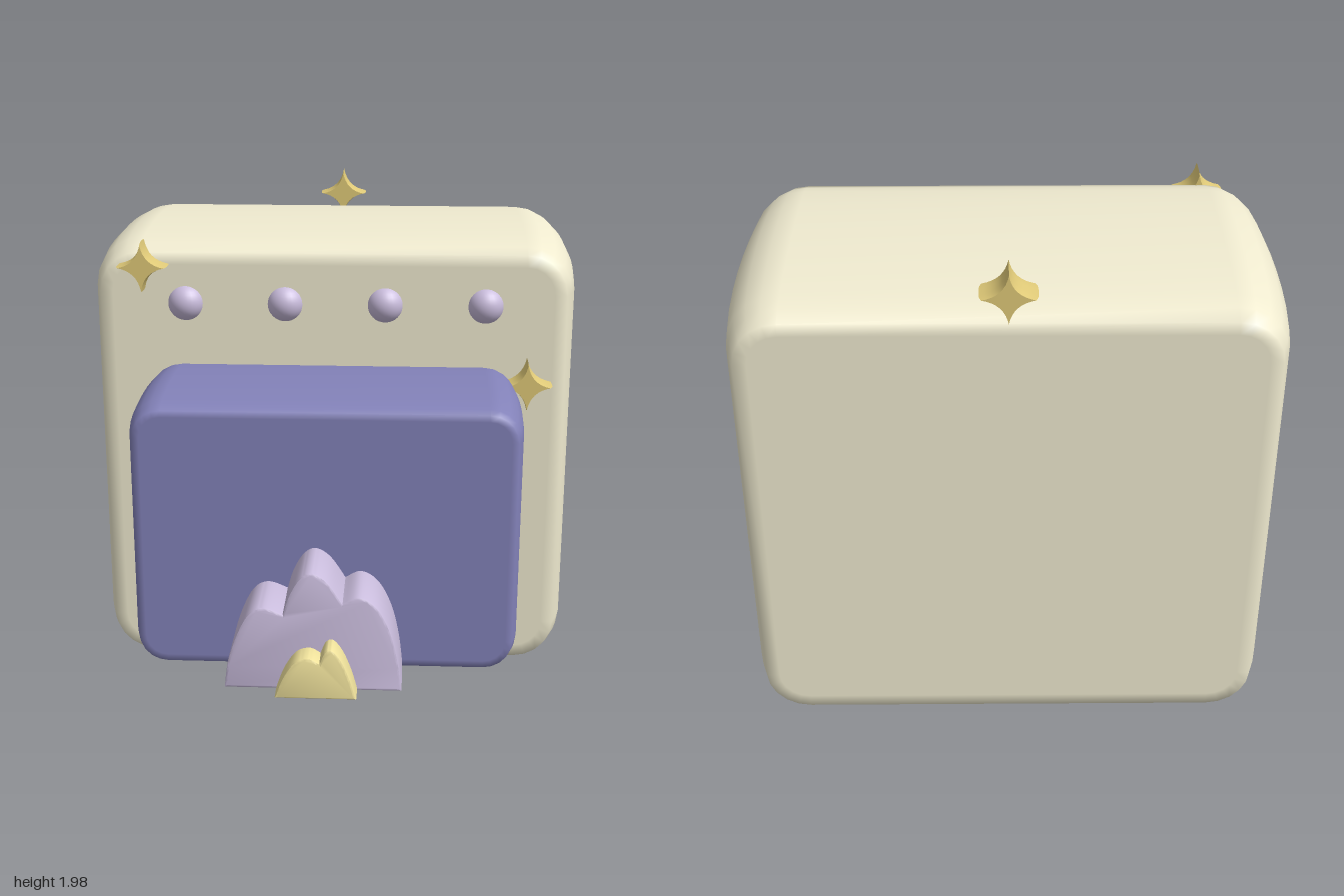
import * as THREE from 'three';
import { toCreasedNormals } from 'three/addons/utils/BufferGeometryUtils.js';

const mat = (color) => new THREE.MeshStandardMaterial({ color });
const CREAM = mat(0xf0ebd0), BLUE = mat(0x8382b9), LILAC = mat(0xcabddd);
const YELLOW = mat(0xf0e29c), GOLD = mat(0xe0ca78);

function add(parent, name, geometry, material, x = 0, y = 0, z = 0) {
  const mesh = new THREE.Mesh(geometry, material);
  mesh.name = name;
  mesh.position.set(x, y, z);
  parent.add(mesh);
  return mesh;
}

// Pillow block: rounded rectangles lofted along z, each section [z, inset]
function pillow(halfW, halfH, radius, sections) {
  const pos = [], index = [], steps = 5, n = 4 * (steps + 1);
  for (const [z, inset] of sections) {
    const r = radius - inset;
    for (let c = 0; c < 4; c++) {
      const sx = c === 0 || c === 3 ? 1 : -1, sy = c < 2 ? 1 : -1;
      for (let s = 0; s <= steps; s++) {
        const a = (c + s / steps) * Math.PI / 2;
        pos.push(sx * (halfW - radius) + r * Math.cos(a), sy * (halfH - radius) + r * Math.sin(a), z);
      }
    }
  }
  const last = sections.length - 1;
  for (let k = 0; k < last; k++) {
    for (let i = 0; i < n; i++) {
      const j = (i + 1) % n, a = k * n, b = a + n;
      index.push(a + i, a + j, b + j, a + i, b + j, b + i);
    }
  }
  // Flat end caps
  const back = pos.length / 3, front = back + 1;
  pos.push(0, 0, sections[0][0], 0, 0, sections[last][0]);
  for (let i = 0; i < n; i++) {
    const j = (i + 1) % n;
    index.push(back, j, i, front, last * n + i, last * n + j);
  }
  const g = new THREE.BufferGeometry();
  g.setAttribute('position', new THREE.Float32BufferAttribute(pos, 3));
  g.setIndex(index);
  g.computeVertexNormals();
  return g;
}

// Section list for a block that swells gently towards its middle
function swell(z0, z1, taper) {
  const d = z1 - z0;
  const rows = [[0, 1.8], [0, 1], [0.06, 0.62], [0.12, 0.36], [0.25, 0.14], [0.38, 0.03]];
  const half = rows.map(([t, f]) => [z0 + t * d, f * taper]);
  const other = rows.map(([t, f]) => [z1 - t * d, f * taper]).reverse();
  return [...half, [(z0 + z1) / 2, 0], ...other];
}

// Four-pointed sparkle with concave sides and slightly softened ends
function sparkle() {
  const R = 0.1, q = 0.022, depth = 0.115;
  const s = new THREE.Shape();
  s.moveTo(R, 0);
  for (let i = 0; i < 4; i++) {
    const a = (i + 0.5) * Math.PI / 2, b = (i + 1) * Math.PI / 2;
    s.quadraticCurveTo(q * Math.cos(a), q * Math.sin(a), R * Math.cos(b), R * Math.sin(b));
  }
  const g = new THREE.ExtrudeGeometry(s, { depth, steps: 6, bevelEnabled: false, curveSegments: 8 });
  const p = g.attributes.position;
  for (let i = 0; i < p.count; i++) {
    const t = Math.abs(p.getZ(i) / depth * 2 - 1);
    const k = 1 - 0.09 * t ** 4;
    p.setXY(i, p.getX(i) * k, p.getY(i) * k);
  }
  return toCreasedNormals(g, 0.7);
}

// Flame: flat base and a row of rounded lobes, each given by spline points
function flame(lobes, depth) {
  const s = new THREE.Shape();
  s.moveTo(...lobes[0][0]);
  for (const lobe of lobes) s.splineThru(lobe.slice(1).map(([x, y]) => new THREE.Vector2(x, y)));
  s.closePath();
  const bevel = 0.012;
  const g = new THREE.ExtrudeGeometry(s, {
    depth: depth - 2 * bevel, curveSegments: 5,
    bevelThickness: bevel, bevelSize: 0.008, bevelOffset: -0.008, bevelSegments: 2,
  });
  g.translate(0, 0, bevel);
  return toCreasedNormals(g, 0.7);
}

export function createModel() {
  const model = new THREE.Group();
  model.name = 'toyStove';

  // Stove body and the protruding oven door
  add(model, 'body', pillow(0.99, 0.925, 0.22, swell(-1, 0.055, 0.06)), CREAM, 0, 0.925);
  add(model, 'ovenDoor', pillow(0.75, 0.54, 0.14, swell(0, 0.655, 0.032)), BLUE, 0, 0.81);

  // Row of round knobs
  const knob = new THREE.SphereGeometry(0.076, 28, 18);
  for (let i = 0; i < 4; i++) add(model, 'knob', knob, LILAC, -0.59 + i * 0.4, 1.585, 0.025);

  // Flame in front of the door
  const outer = [
    [[-0.36, 0.32], [-0.345, 0.43], [-0.31, 0.54], [-0.265, 0.62], [-0.21, 0.645], [-0.14, 0.62]],
    [[-0.14, 0.62], [-0.115, 0.7], [-0.075, 0.765], [-0.03, 0.785], [0.025, 0.75], [0.08, 0.668]],
    [[0.08, 0.668], [0.14, 0.695], [0.205, 0.655], [0.255, 0.56], [0.285, 0.44], [0.3, 0.32]],
  ];
  const inner = [
    [[-0.165, 0.33], [-0.135, 0.41], [-0.09, 0.475], [-0.04, 0.492], [0, 0.472]],
    [[0, 0.472], [0.018, 0.515], [0.045, 0.526], [0.08, 0.485], [0.112, 0.41], [0.135, 0.33]],
  ];
  add(model, 'outerFlame', flame(outer, 0.265), LILAC, 0, 0, 0.64);
  add(model, 'innerFlame', flame(inner, 0.11), YELLOW, 0, 0, 0.89);

  // Sparkles: two on the front, one at the top of the back
  const star = sparkle();
  for (const [x, y, z] of [[-0.75, 1.745, 0.04], [0.78, 1.28, 0.04], [0, 1.88, -1.003]]) {
    add(model, 'sparkle', star, GOLD, x, y, z);
  }
  return model;
}
